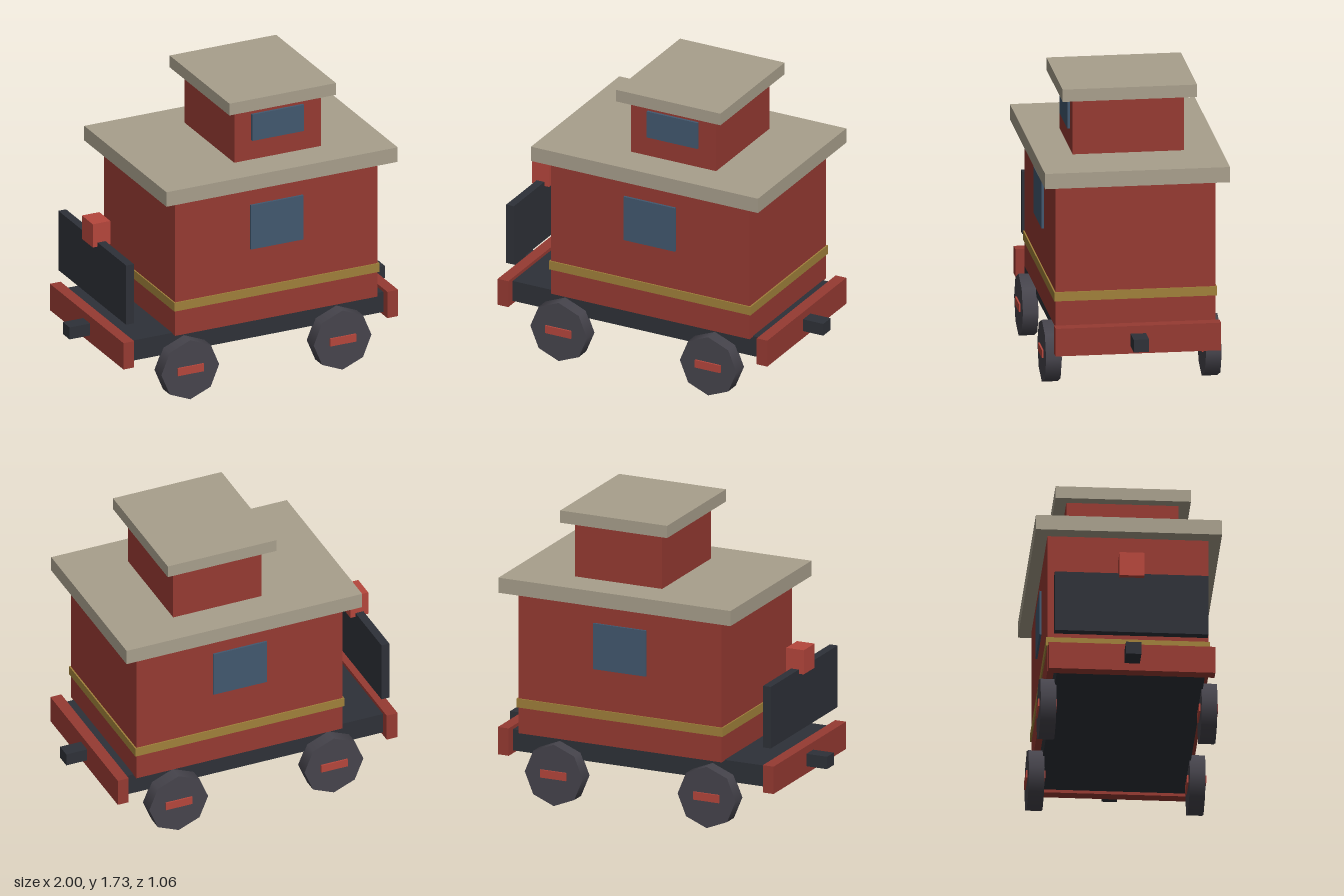
import * as THREE from 'three';

const mat = (color) => new THREE.MeshStandardMaterial({ color });

export function createModel() {
  const model = new THREE.Group();
  const red = mat(0x963a32), brightRed = mat(0xb5463c), dark = mat(0x2e3138);
  const tan = mat(0xa89f8c), glass = mat(0x42586f), gold = mat(0xa0803a), iron = mat(0x46444c);

  // Box given by its extents along each axis
  function box(name, material, [x0, x1], [y0, y1], [z0, z1]) {
    const mesh = new THREE.Mesh(new THREE.BoxGeometry(x1 - x0, y1 - y0, z1 - z0), material);
    mesh.position.set((x0 + x1) / 2, (y0 + y1) / 2, (z0 + z1) / 2);
    mesh.name = name;
    model.add(mesh);
  }
  const sym = (h) => [-h, h];

  // Underframe and cabin
  box('chassis', dark, sym(0.835), [0.27, 0.395], sym(0.422));
  box('cabin', red, [-0.535, 0.748], [0.39, 1.235], sym(0.459));
  box('trimBand', gold, [-0.543, 0.757], [0.545, 0.598], sym(0.467));
  box('mainRoof', tan, [-0.625, 0.84], [1.235, 1.325], sym(0.531));

  // Raised lookout on the roof
  box('cupola', red, [-0.092, 0.457], [1.325, 1.655], sym(0.32));
  box('cupolaRoof', tan, [-0.155, 0.52], [1.655, 1.728], sym(0.386));
  box('cupolaWindow', glass, [0.015, 0.343], [1.445, 1.608], [0.31, 0.335]);

  // Side windows
  box('frontWindow', glass, [-0.06, 0.272], [0.84, 1.113], [0.445, 0.473]);
  box('backWindow', glass, [-0.06, 0.272], [0.84, 1.113], [-0.471, -0.445]);

  // End beams and couplers at both ends
  for (const s of [-1, 1]) {
    const span = (a, b) => (s > 0 ? [a, b] : [-b, -a]);
    box('endBeam', red, span(0.802, 0.87), [0.252, 0.415], sym(0.475));
    box('coupler', dark, span(0.82, 1), [0.296, 0.37], sym(0.044));
  }

  // End railing panel with lamp
  box('endPanel', dark, [-0.835, -0.786], [0.508, 0.875], sym(0.438));
  box('endLamp', brightRed, [-0.866, -0.755], [0.85, 0.994], sym(0.071));

  // Octagonal wheels with a bar hub
  const wheelGeometry = new THREE.CylinderGeometry(0.183, 0.183, 0.09, 8).rotateX(Math.PI / 2);
  for (const x of [-0.461, 0.504]) {
    for (const z of [-0.459, 0.459]) {
      const wheel = new THREE.Mesh(wheelGeometry, iron);
      wheel.position.set(x, 0.184, z);
      wheel.name = 'wheel';
      model.add(wheel);
      box('wheelHub', brightRed, [x - 0.082, x + 0.082], [0.163, 0.21], [z - 0.055, z + 0.055]);
    }
  }
  return model;
}
